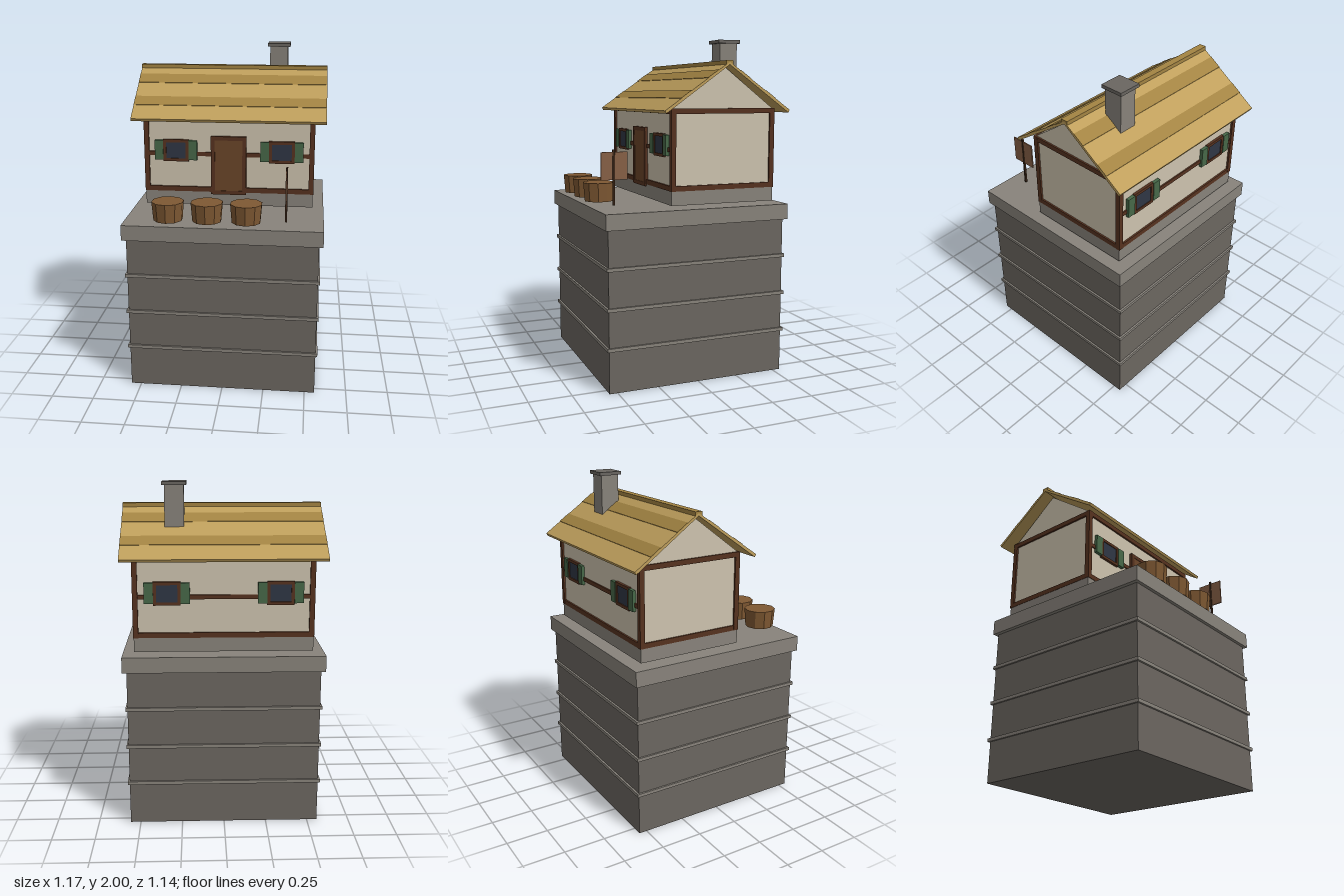
import * as THREE from 'three';

const mat = (color) => new THREE.MeshStandardMaterial({ color, flatShading: true });
const M = {
  stone: mat(0x6b6660), slab: mat(0x88837b), chimney: mat(0x87827a), capStone: mat(0x6a6661),
  wall: mat(0xcdc3ae), timber: mat(0x56321f), door: mat(0x6a4529), glass: mat(0x2f3644),
  shutter: mat(0x476848), thatch: mat(0xbf9f5c), thatchDark: mat(0xa38443), barrel: mat(0x7f5933),
  board: mat(0x876046), post: mat(0x3d2819),
};

function add(parent, name, geometry, material, x = 0, y = 0, z = 0) {
  const m = new THREE.Mesh(geometry, material);
  m.name = name;
  m.position.set(x, y, z);
  parent.add(m);
  return m;
}

// Box given by its extents along each axis
function box(parent, name, material, [x0, x1], [y0, y1], [z0, z1]) {
  return add(parent, name, new THREE.BoxGeometry(x1 - x0, y1 - y0, z1 - z0), material,
    (x0 + x1) / 2, (y0 + y1) / 2, (z0 + z1) / 2);
}

// Cross-section in (z, y), extruded along x and centred on it
function profileX(parent, name, material, points, length) {
  const shape = new THREE.Shape(points.map(([z, y]) => new THREE.Vector2(-z, y)));
  const g = new THREE.ExtrudeGeometry(shape, { depth: length, bevelEnabled: false });
  g.translate(0, 0, -length / 2);
  g.rotateY(Math.PI / 2);
  return add(parent, name, g, material);
}

function group(parent, name) {
  const g = new THREE.Group();
  g.name = name;
  parent.add(g);
  return g;
}

// Four bars around an opening in the xy plane
function frame(parent, name, w, [y0, y1], halfX, z) {
  box(parent, name, M.timber, [-halfX, halfX], [y1 - w, y1], z);
  box(parent, name, M.timber, [-halfX, halfX], [y0, y0 + w], z);
  for (const s of [-1, 1]) {
    const a = s * halfX, b = s * (halfX - w);
    box(parent, name, M.timber, [Math.min(a, b), Math.max(a, b)], [y0 + w, y1 - w], z);
  }
}

function shutteredWindow(parent, x) {
  const w = group(parent, 'window');
  w.position.x = x;
  box(w, 'windowGlass', M.glass, [-0.06, 0.06], [1.335, 1.44], [0.31, 0.329]);
  frame(w, 'windowFrame', 0.018, [1.32, 1.455], 0.078, [0.31, 0.334]);
  for (const [a, b] of [[-0.13, -0.078], [0.078, 0.13]])
    box(w, 'shutter', M.shutter, [a, b], [1.33, 1.45], [0.312, 0.338]);
}

export function createModel() {
  const root = new THREE.Group();
  root.name = 'houseOnTower';

  // Stone block with bands and a top slab
  const tower = group(root, 'tower');
  box(tower, 'towerBody', M.stone, [-0.56, 0.56], [0, 0.94], [-0.548, 0.548]);
  for (const y of [0.257, 0.487, 0.717])
    box(tower, 'stoneBand', M.slab, [-0.571, 0.571], [y - 0.01, y + 0.01], [-0.56, 0.56]);
  box(tower, 'topSlab', M.slab, [-0.584, 0.584], [0.94, 1.032], [-0.568, 0.568]);

  // House body
  const house = group(root, 'house');
  house.position.z = -0.173;
  box(house, 'foundation', M.slab, [-0.516, 0.516], [1.048, 1.135], [-0.326, 0.326]);
  box(house, 'walls', M.wall, [-0.508, 0.508], [1.13, 1.6], [-0.318, 0.318]);
  profileX(house, 'gable', M.wall, [[-0.318, 1.6], [0, 1.84], [0.318, 1.6]], 1.016);

  // Timber frame
  for (const sx of [-1, 1]) {
    for (const sz of [-1, 1])
      add(house, 'cornerPost', new THREE.BoxGeometry(0.03, 0.47, 0.03), M.timber, sx * 0.504, 1.365, sz * 0.315);
    for (const y of [1.145, 1.585])
      add(house, 'sideBeam', new THREE.BoxGeometry(0.026, 0.03, 0.6), M.timber, sx * 0.505, y, 0);
  }

  // Front and back: beams and windows, the back turned half round
  for (const turn of [0, Math.PI]) {
    const face = group(house, turn ? 'backFace' : 'frontFace');
    face.rotation.y = turn;
    for (const y of [1.145, 1.585])
      box(face, 'longBeam', M.timber, [-0.489, 0.489], [y - 0.015, y + 0.015], [0.3, 0.329]);
    box(face, 'middleBeam', M.timber, [-0.489, 0.489], [1.354, 1.379], [0.3, 0.326]);
    for (const x of [-0.323, 0.323]) shutteredWindow(face, x);
    if (!turn) {
      box(face, 'door', M.door, [-0.085, 0.085], [1.135, 1.46], [0.3, 0.334]);
      frame(face, 'doorFrame', 0.024, [1.117, 1.48], 0.108, [0.3, 0.337]);
    }
  }

  // Thatched roof: two thin slopes with darker stripes and a ridge
  const roof = group(house, 'roof');
  const slopeY = (z) => 1.862 - 0.69 * z;
  for (const s of [-1, 1]) {
    const strip = (name, material, z0, z1, lift, thick) => {
      const pts = [[z0, slopeY(z0) + lift], [z1, slopeY(z1) + lift],
        [z1 - thick * 0.5, slopeY(z1) - thick], [z0, slopeY(z0) - thick]];
      profileX(roof, name, material, pts.map(([z, y]) => [s * z, y]), 1.168);
    };
    strip('roofSlope', M.thatch, 0, 0.394, 0, 0.016);
    strip('darkThatch', M.thatchDark, 0.069, 0.134, 0.003, 0.002);
    strip('darkThatch', M.thatchDark, 0.235, 0.297, 0.003, 0.002);
  }
  box(roof, 'ridge', M.thatchDark, [-0.584, 0.584], [1.845, 1.87], [-0.022, 0.022]);

  // Chimney
  const chimney = group(root, 'chimney');
  box(chimney, 'chimneyShaft', M.chimney, [0.223, 0.335], [1.66, 1.98], [-0.342, -0.23]);
  box(chimney, 'chimneyCap', M.capStone, [0.209, 0.349], [1.98, 2], [-0.357, -0.217]);

  // Row of barrels
  for (const x of [-0.322, -0.093, 0.136])
    add(root, 'barrel', new THREE.CylinderGeometry(0.095, 0.086, 0.112, 10), M.barrel, x, 1.104, 0.471);

  // Sign on a post
  const sign = group(root, 'sign');
  box(sign, 'signPost', M.post, [0.359, 0.371], [1.048, 1.37], [0.444, 0.456]);
  box(sign, 'signBoard', M.board, [0.361, 0.369], [1.195, 1.355], [0.368, 0.442]);
  box(sign, 'signBoard', M.board, [0.361, 0.369], [1.195, 1.355], [0.458, 0.526]);
  return root;
}
